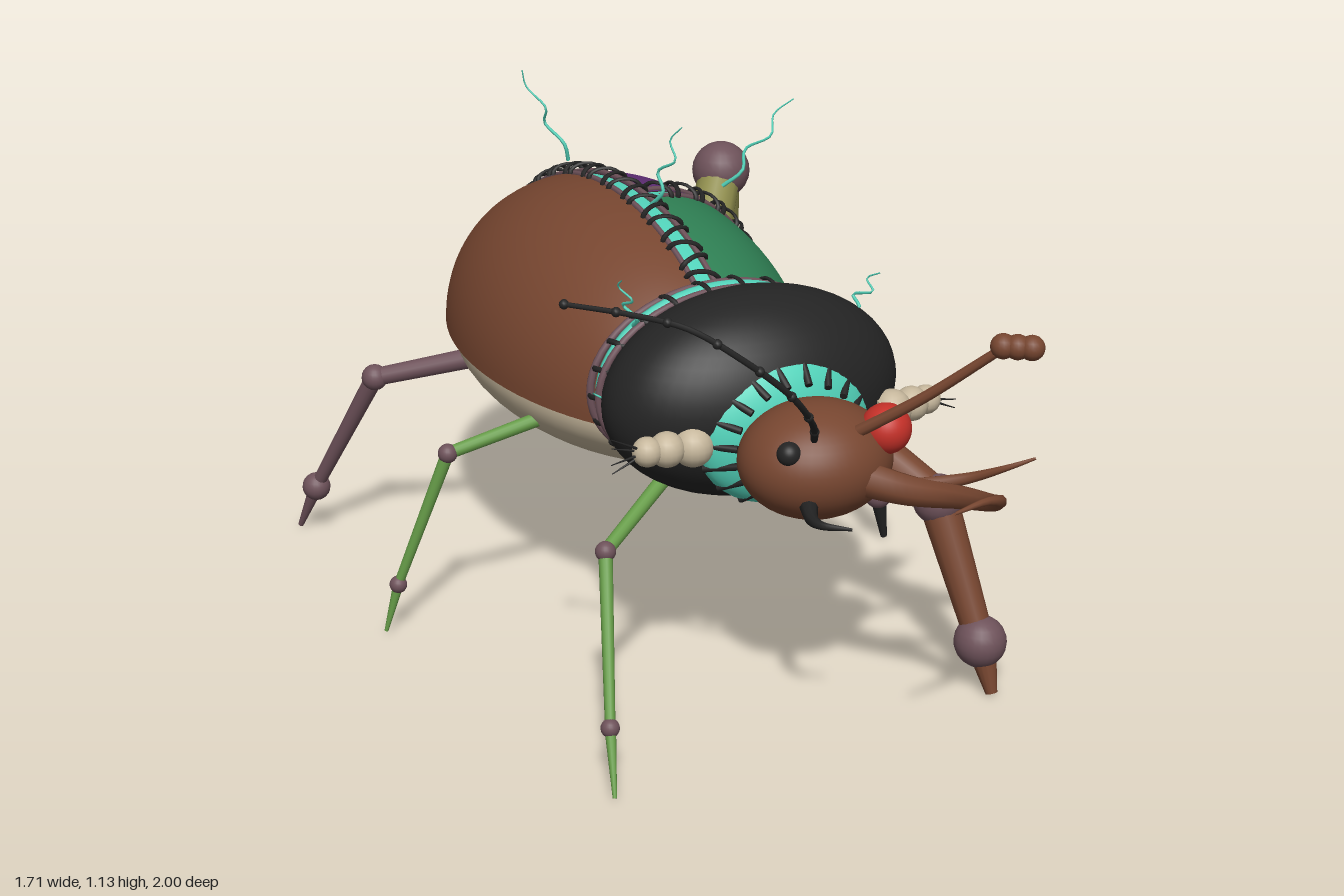
import * as THREE from 'three';

const mat = (name, color) => { const m = new THREE.MeshStandardMaterial({ color }); m.name = name; return m; };
const V = (p) => new THREE.Vector3(...p);

export function createModel() {
  const brown = mat('brown', 0x774630), purple = mat('purple', 0x5f2d75), green = mat('green', 0x2f8054),
    black = mat('black', 0x242424), teal = mat('teal', 0x52d3ba), mauve = mat('mauve', 0x6e525a),
    bone = mat('bone', 0xc6b79c), red = mat('red', 0xc43028), leaf = mat('leafGreen', 0x669c48),
    olive = mat('olive', 0x8e8c4c);
  const root = new THREE.Group();
  root.name = 'patchworkBeetle';
  const torso = new THREE.Group(); // body turned about its vertical axis
  torso.name = 'torso';
  torso.position.set(-0.04, 0, -0.21);
  torso.rotation.y = Math.PI / 6;
  root.add(torso);

  const add = (parent, name, geo, m) => {
    const mesh = new THREE.Mesh(geo, m);
    mesh.name = name;
    parent.add(mesh);
    return mesh;
  };
  const ball = (parent, name, m, p, r, seg = 20) => {
    const mesh = add(parent, name, new THREE.SphereGeometry(1, seg * 2, seg), m);
    mesh.position.set(...p);
    if (Array.isArray(r)) mesh.scale.set(...r); else mesh.scale.setScalar(r);
    return mesh;
  };
  // Straight limb from a to b with two end radii
  const rod = (parent, name, m, a, b, r0, r1) => {
    const p = V(a), q = V(b), d = q.clone().sub(p);
    const mesh = add(parent, name, new THREE.CylinderGeometry(r1, r0, d.length(), 14), m);
    mesh.position.copy(p).lerp(q, 0.5);
    mesh.quaternion.setFromUnitVectors(new THREE.Vector3(0, 1, 0), d.normalize());
    return mesh;
  };
  // Curved tube tapering from r0 to r1
  const taper = (parent, name, m, pts, r0, r1, n = 28, sides = 8) => {
    const curve = new THREE.CatmullRomCurve3(pts.map(V));
    const geo = new THREE.TubeGeometry(curve, n, 1, sides), pos = geo.attributes.position, v = new THREE.Vector3();
    for (let i = 0; i < pos.count; i++) {
      const t = Math.floor(i / (sides + 1)) / n, c = curve.getPointAt(t);
      v.fromBufferAttribute(pos, i).sub(c).multiplyScalar(r0 + (r1 - r0) * t).add(c);
      pos.setXYZ(i, v.x, v.y, v.z);
    }
    add(parent, name, geo, m);
    return curve;
  };

  // Abdomen: domed wing-case patches over a teal lining
  const A = 0.37, H = 0.38, C = 0.6, Y = 0.56;
  const dome = (th, ph, s = 1) => new THREE.Vector3(A * s * Math.sin(th) * Math.cos(ph),
    Y + H * s * Math.sin(th) * Math.sin(ph), C * s * Math.cos(th));
  const patch = (name, m, range, s = 1) => {
    const geo = new THREE.PlaneGeometry(1, 1, 40, 28), pos = geo.attributes.position;
    for (let i = 0; i < pos.count; i++) {
      const [th, ph] = range(pos.getX(i) + 0.5, pos.getY(i) + 0.5), p = dome(th, ph, s);
      pos.setXYZ(i, p.x, p.y, p.z);
    }
    geo.computeVertexNormals();
    return add(torso, name, geo, m);
  };
  const mix = (a, b, t) => a + (b - a) * t, PI = Math.PI;
  const gap = (th) => Math.min(0.5, 0.016 / (A * Math.sin(th) + 1e-4));
  const cross = (ph) => Math.acos((0.07 - 0.11 * Math.cos(ph)) / C);
  patch('wingCaseLining', teal, (u, v) => [u * PI, v * PI], 0.985);
  patch('brownWingCase', brown, (u, v) => [u * PI, mix(PI / 2 + gap(u * PI), PI, v)]);
  for (const [name, m, front] of [['greenWingPatch', green, true], ['purpleWingPatch', purple, false]]) {
    patch(name, m, (u, v) => {
      const seam = cross(v * PI / 2);
      const th = front ? mix(0, seam - 0.025, u) : mix(seam + 0.025, PI, u);
      return [th, mix(0, PI / 2 - gap(th), v)];
    });
  }
  const belly = add(torso, 'belly', new THREE.SphereGeometry(1, 48, 16, 0, PI * 2, PI / 2, PI / 2), bone);
  belly.scale.set(A * 0.965, 0.19, C * 0.965);
  belly.position.y = Y - 0.005;
  ball(torso, 'rimLining', teal, [0, Y, 0], [A * 0.985, 0.011, C * 0.985]);

  // Staple arching over a seam
  const staple = (p, along, normal, r = 0.036) => {
    const n = normal.clone().normalize(), x = along.clone().cross(n).normalize();
    const mesh = add(torso, 'stitch', new THREE.TorusGeometry(r, 0.0065, 5, 8, PI), black);
    mesh.quaternion.setFromRotationMatrix(new THREE.Matrix4().makeBasis(x, n, x.clone().cross(n)));
    mesh.position.copy(p);
    mesh.scale.y = 0.6;
  };
  const normalAt = (p) => new THREE.Vector3(p.x / A ** 2, (p.y - Y) / H ** 2, p.z / C ** 2);
  const stitchSeam = (name, fn, count, offset) => {
    for (let i = 0; i < count; i++) {
      const t = (i + 0.5) / count, p = fn(t), d = fn(t + 0.01).sub(fn(t - 0.01)).normalize();
      const n = normalAt(p), side = d.clone().cross(n).normalize().multiplyScalar(0.012);
      staple(p, d.clone().add(side.multiplyScalar(i % 2 ? 25 : -25)), n);
    }
    for (const s of [-1, 1]) { // raised welts either side
      const pts = Array.from({ length: 24 }, (_, i) => {
        const t = i / 23, p = fn(t), d = fn(t + 0.01).sub(fn(t - 0.01));
        return p.clone().add(d.cross(normalAt(p)).normalize().multiplyScalar(s * offset)).toArray();
      });
      taper(torso, name, mauve, pts, 0.007, 0.007, 40, 6);
    }
  };
  stitchSeam('backSeamWelt', (t) => dome(mix(0.72, 2.85, t), PI / 2), 24, 0.024);
  stitchSeam('crossSeamWelt', (t) => { const ph = mix(1.45, 0.5, t); return dome(cross(ph), ph); }, 9, 0.022);

  // Pronotum with stitched collars behind and in front
  ball(torso, 'pronotum', black, [0, 0.67, 0.622], [0.338, 0.225, 0.205], 28);
  const ring = (name, m, z, rx, ry, r) => {
    const mesh = add(torso, name, new THREE.TorusGeometry(1, r / rx, 8, 56), m);
    mesh.position.set(0, 0.65, z);
    mesh.scale.set(rx, ry, rx);
  };
  ring('rearCollar', teal, 0.47, 0.275, 0.2, 0.018);
  ring('rearCollarWelt', mauve, 0.448, 0.295, 0.205, 0.009);
  ring('rearCollarWelt', mauve, 0.492, 0.295, 0.205, 0.009);
  for (let i = 0; i < 22; i++) {
    const a = i / 22 * PI * 2, c = Math.cos(a), s = Math.sin(a);
    staple(new THREE.Vector3(0.285 * c, 0.65 + 0.2 * s, 0.47), new THREE.Vector3(-s, c, 0.2), new THREE.Vector3(c, s, 0), 0.03);
  }
  ball(torso, 'frontCollar', teal, [0, 0.635, 0.765], [0.2, 0.165, 0.08]);
  for (let i = 0; i < 18; i++) {
    const a = i / 18 * PI * 2, c = Math.cos(a), s = Math.sin(a);
    rod(torso, 'collarStitch', black, [0.2 * c, 0.635 + 0.165 * s, 0.77], [0.14 * c, 0.635 + 0.115 * s, 0.83], 0.008, 0.008);
  }

  // Head, odd eyes, jaws
  ball(torso, 'head', brown, [0, 0.62, 0.905], [0.165, 0.122, 0.147], 24);
  ball(root, 'redEye', red, [0.555, 0.69, 0.575], 0.053);
  ball(root, 'smallEye', black, [0.36, 0.678, 0.695], 0.025);
  taper(root, 'largeJaw', brown, [[0.47, 0.61, 0.62], [0.6, 0.595, 0.67], [0.7, 0.61, 0.73], [0.76, 0.64, 0.82],
    [0.77, 0.68, 0.9], [0.74, 0.7, 0.95], [0.68, 0.695, 1.0]], 0.042, 0.003);
  taper(root, 'jawProng', brown, [[0.6, 0.6, 0.67], [0.72, 0.63, 0.68], [0.8, 0.67, 0.71], [0.85, 0.69, 0.71]], 0.02, 0.003);
  taper(root, 'smallJaw', black, [[0.4, 0.57, 0.68], [0.41, 0.57, 0.77], [0.43, 0.575, 0.81], [0.49, 0.575, 0.825]], 0.022, 0.003);

  // Antennae: beaded one and clubbed one
  const feeler = taper(root, 'beadedAntenna', black, [[0.41, 0.69, 0.66], [0.405, 0.79, 0.8], [0.36, 0.89, 0.9],
    [0.27, 0.98, 0.955], [0.17, 1.04, 0.96], [0.06, 1.055, 0.93], [-0.07, 1.062, 0.9]], 0.008, 0.005, 40, 6);
  for (let i = 1; i <= 8; i++) ball(root, 'antennaBead', black, feeler.getPointAt(i / 8).toArray(), 0.01, 6);
  taper(root, 'clubbedAntenna', brown, [[0.48, 0.69, 0.62], [0.62, 0.79, 0.66], [0.77, 0.915, 0.7]], 0.014, 0.01);
  for (let i = 0; i < 3; i++) ball(root, 'antennaClub', brown, [0.775 + i * 0.028, 0.923, 0.7 + i * 0.003], 0.026, 10);

  // Bony beads with bristles at both shoulders
  for (const [a, b] of [[[0.2, 0.63, 0.54], [0.07, 0.64, 0.615]], [[0.54, 0.63, 0.35], [0.645, 0.635, 0.275]]]) {
    const p = V(a), q = V(b), out = q.clone().sub(p).normalize();
    rod(root, 'shoulderBone', bone, a, b, 0.03, 0.024);
    [0.3, 0.7, 1].forEach((t, i) => ball(root, 'shoulderBead', bone, p.clone().lerp(q, t).toArray(), 0.044 - i * 0.006, 10));
    for (let i = 0; i < 4; i++) {
      const tip = q.clone().addScaledVector(out, 0.08).add(V([0, -0.04 + i * 0.028, 0.02 * (i % 2)]));
      rod(root, 'shoulderBristle', black, b, tip.toArray(), 0.004, 0.001);
    }
  }

  // Mismatched legs: base, knee, ankle, tip; thigh, shin, knee and ankle radii
  const legs = [
    ['mauveHindLeg', mauve, [-0.34, 0.52, -0.23], [-0.63, 0.45, -0.23], [-0.8, 0.12, -0.33], [-0.85, 0, -0.365], 0.025, 0.022, 0.031, 0.034],
    ['greenMiddleLeg', leaf, [-0.17, 0.505, 0.09], [-0.4, 0.445, 0.2], [-0.52, 0.12, 0.2], [-0.55, 0.005, 0.205], 0.017, 0.015, 0.022, 0.02],
    ['greenFrontLeg', leaf, [0.11, 0.52, 0.42], [-0.015, 0.42, 0.63], [0.01, 0.12, 0.835], [0.025, 0, 0.91], 0.017, 0.015, 0.022, 0.02],
    ['oliveHindLeg', olive, [0.12, 0.62, -0.58], [0.16, 0.81, -0.77], [0.163, 0.21, -0.93], [0.165, 0, -0.98], 0.06, 0.047, 0.071, 0.071],
    ['blackMiddleLeg', black, [0.3, 0.515, -0.17], [0.5, 0.47, -0.3], [0.565, 0.12, -0.375], [0.583, 0, -0.4], 0.026, 0.026, 0.032, 0.033],
    ['brownFrontLeg', brown, [0.48, 0.52, 0.17], [0.68, 0.4, 0.27], [0.78, 0.11, 0.37], [0.808, 0, 0.4], 0.05, 0.044, 0.056, 0.058],
  ];
  for (const [name, m, base, knee, ankle, tip, rt, rs, rk, ra] of legs) {
    const leg = new THREE.Group();
    leg.name = name;
    root.add(leg);
    rod(leg, 'thigh', m, base, knee, rt, rt * 0.85);
    rod(leg, 'shin', m, knee, ankle, rs, rs * 0.72);
    rod(leg, 'foot', m === mauve || m === leaf || m === olive || m === brown ? m : black, ankle, tip, rs * 0.8, rs * 0.3);
    ball(leg, 'knee', m === black ? black : mauve, knee, rk, 12);
    ball(leg, 'ankle', mauve, ankle, ra, 12);
    if (m === black) { // spines down the shin
      for (let i = 1; i < 6; i++) {
        const p = V(knee).lerp(V(ankle), i / 6);
        rod(leg, 'spine', black, p.toArray(), [p.x + 0.05, p.y - 0.005, p.z + 0.03 * (i % 2 ? 1 : -1)], 0.007, 0.001);
      }
    }
  }
  const cuff = add(root, 'legCuff', new THREE.TorusGeometry(0.052, 0.009, 8, 24), teal);
  cuff.position.set(0.54, 0.485, 0.2);
  cuff.lookAt(0.68, 0.4, 0.27);

  // Frayed threads rising from the seams
  const threads = [[[-0.19, 0.92, -0.47], [-0.3, 1.13, -0.5]], [[0.03, 0.93, -0.12], [0.1, 1.12, -0.09]],
    [[0.18, 0.9, -0.36], [0.34, 1.09, -0.44]], [[0.02, 0.8, 0.31], [0.0, 0.92, 0.36]], [[0.47, 0.8, 0.2], [0.54, 0.9, 0.22]],
    [[0.02, 0.62, 0.36], [-0.06, 0.68, 0.4]]];
  for (const [a, b] of threads) {
    const pts = [0, 0.2, 0.4, 0.6, 0.8, 1].map((t, i) => {
      const k = i % 5 ? (i % 2 ? 0.014 : -0.014) : 0;
      return [mix(a[0], b[0], t) + k, mix(a[1], b[1], t), mix(a[2], b[2], t) + k];
    });
    taper(root, 'frayedThread', teal, pts, 0.005, 0.0015, 20, 5);
  }
  return root;
}
